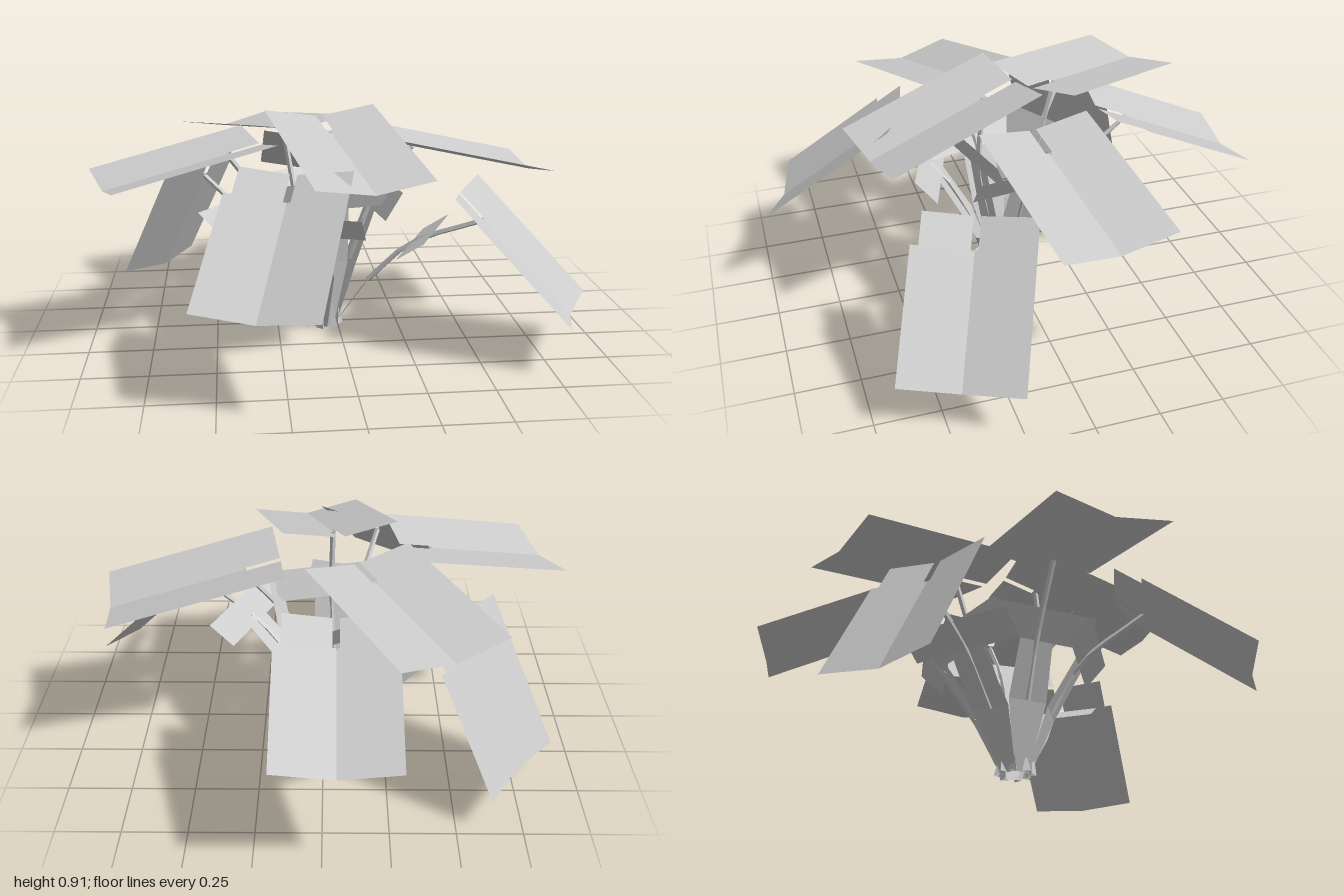
import * as THREE from 'three';

const material = new THREE.MeshStandardMaterial({ color: 0xcccccc, flatShading: true, side: THREE.DoubleSide });
const UP = new THREE.Vector3(0, 1, 0);
const CROWN = new THREE.Vector3(-0.06, 0, 0.015);

function addMesh(group, name, geometry) {
  const mesh = new THREE.Mesh(geometry, material);
  mesh.name = name;
  group.add(mesh);
  return mesh;
}

// Triangles from a list of quads, each with four corners
function quadsToGeometry(quads) {
  const points = quads.flatMap(([a, b, c, d]) => [a, b, c, a, c, d]);
  const geometry = new THREE.BufferGeometry().setFromPoints(points);
  geometry.computeVertexNormals();
  return geometry;
}

// One frond: a folded blade whose fold line runs from base to tip, a stalk with
// a crosspiece at the given reach and height, and a thin stem joining the two
function makeFrond(name, base, tip, reach, height, inset = 1) {
  const start = new THREE.Vector3(...base), end = new THREE.Vector3(...tip);
  const along = end.clone().sub(start).normalize();
  const side = along.clone().cross(UP).normalize();
  const lift = side.clone().cross(along);
  const out = along.clone().setY(0).normalize();

  // Blade: u runs -1..1 from left to right looking outward, v from base to tip
  const onBlade = (u, v) => start.clone().lerp(end, v)
    .addScaledVector(side, 0.23 * u).addScaledVector(lift, 0.04 * Math.abs(u));
  const panel = (u0, u1, v0, v1) =>
    [onBlade(u0, v0), onBlade(u1, v0), onBlade(u1, v1), onBlade(u0, v1)];
  const slit = 0.2, gap = 0.06;
  const blade = quadsToGeometry([
    panel(-1, -gap, 0, slit), panel(gap, inset, 0, slit),
    panel(-1, 0, slit, 1), panel(0, 1, slit, 1),
  ]);

  // Stalk: a strip rising from the crown, with a crosspiece that leans further out
  const onStalk = (r, y, across) => CROWN.clone().addScaledVector(out, r)
    .addScaledVector(side, across).setY(y);
  const band = ([r0, y0, w0], [r1, y1, w1]) =>
    [onStalk(r0, y0, -w0), onStalk(r0, y0, w0), onStalk(r1, y1, w1), onStalk(r1, y1, -w1)];
  const lean = new THREE.Vector2(reach, 0.65 * height).setLength(0.13);
  const foot = [0.05, 0, 0.03];
  const middle = [THREE.MathUtils.lerp(0.05, reach, 0.45), height * 0.55, 0.08];
  const stalk = quadsToGeometry([
    band(foot, middle),
    band(middle, [reach, height, 0.07]),
    band([reach, height, 0.23], [reach + lean.x, height + lean.y, 0.23]),
  ]);

  // Stem: leaves the stalk halfway and ends in the slit of the blade
  const path = new THREE.CatmullRomCurve3([
    onStalk(middle[0], middle[1], 0), onStalk(reach, height, 0), onBlade(0, 0.22),
  ]);
  const stem = new THREE.TubeGeometry(path, 6, 0.011, 4);

  const frond = new THREE.Group();
  frond.name = name;
  addMesh(frond, 'blade', blade);
  addMesh(frond, 'stalk', stalk);
  addMesh(frond, 'stem', stem);
  return frond;
}

export function createModel() {
  const model = new THREE.Group();
  model.name = 'plant';

  model.add(
    makeFrond('backFrond', [-0.05, 0.71, -0.38], [-0.05, 0.44, -0.98], 0.28, 0.42, 0.87),
    makeFrond('backRightUpperFrond', [-0.13, 0.8, -0.12], [-0.46, 0.72, -0.7], 0.2, 0.5),
    makeFrond('rightFrond', [-0.31, 0.78, 0.08], [-0.91, 0.65, 0.26], 0.21, 0.49),
    makeFrond('leftFrond', [0.17, 0.77, -0.03], [0.84, 0.61, -0.13], 0.2, 0.49),
    makeFrond('frontUpperFrond', [-0.07, 0.87, -0.03], [0.08, 0.69, 0.59], 0.12, 0.52),
    makeFrond('frontRightFrond', [-0.2, 0.73, 0.41], [-0.36, 0.34, 0.9], 0.26, 0.45, 0.87),
    makeFrond('backRightLowerFrond', [-0.49, 0.68, -0.33], [-0.74, 0.11, -0.52], 0.36, 0.39, 0.87),
    makeFrond('frontLeftFrond', [0.45, 0.61, 0.27], [0.86, 0.16, 0.45], 0.37, 0.38, 0.87),
  );

  // Sharp sheaths around the crown
  for (let i = 0; i < 8; i++) {
    const a = (i / 8) * Math.PI * 2 + 0.2;
    const height = 0.07 + 0.04 * (i % 3);
    const sheath = addMesh(model, 'sheath', new THREE.ConeGeometry(0.02, height, 3, 1, true));
    sheath.position.set(CROWN.x + 0.065 * Math.cos(a), height / 2, CROWN.z + 0.065 * Math.sin(a));
    sheath.rotation.y = -a;
  }
  return model;
}
